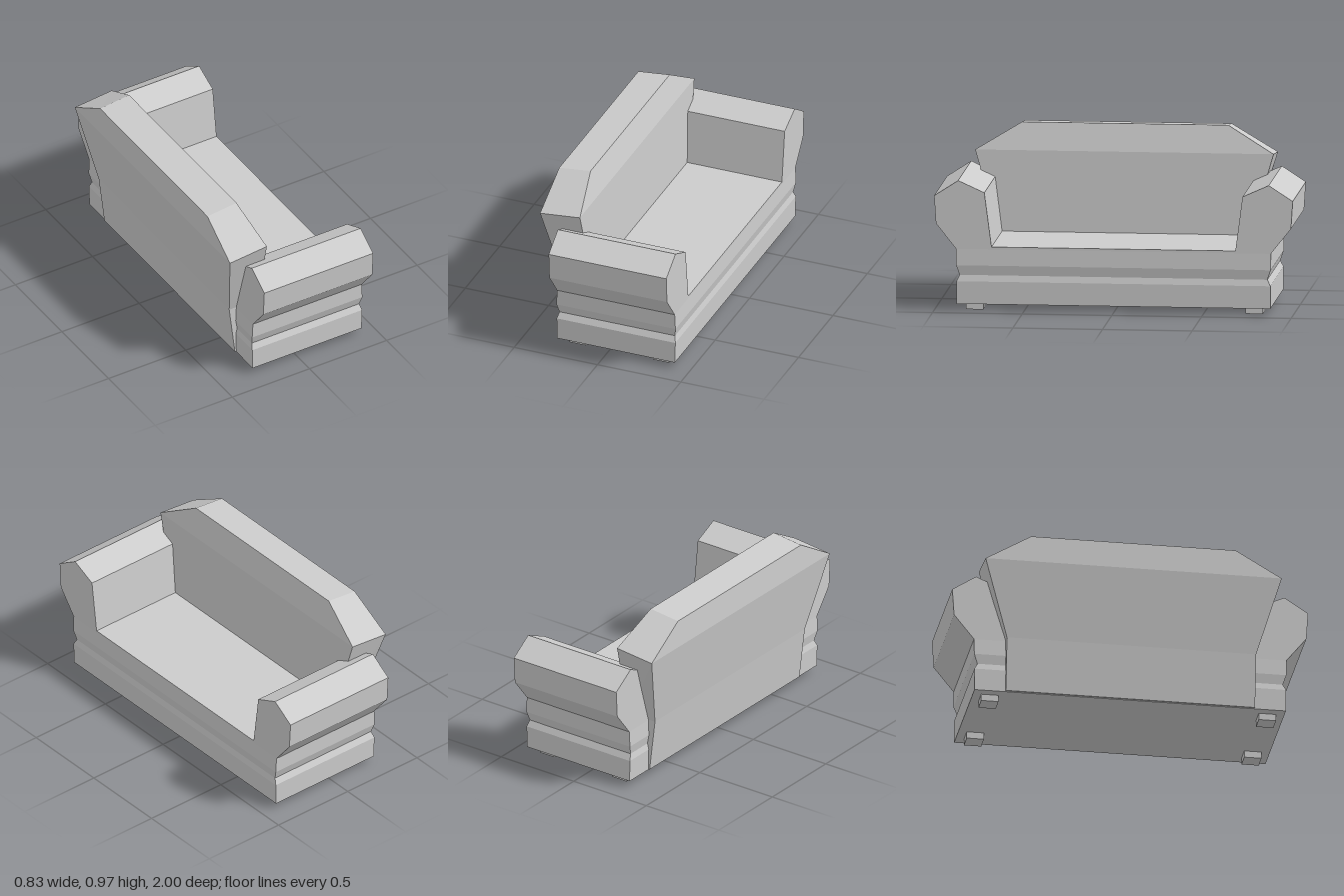
import * as THREE from 'three';

const material = new THREE.MeshStandardMaterial({ color: 0xcccccc, flatShading: true });

// Closed solid from stacked four-cornered rings: y, back x, front x, half length in z, rise of the front edge
function loft(rings) {
  const corners = rings.map(({ y, back, front, half, rise = 0 }) => [
    [back, y, half], [front, y + rise, half], [front, y + rise, -half], [back, y, -half],
  ]);
  const positions = [];
  const quad = (a, b, c, d) => positions.push(...a, ...b, ...c, ...a, ...c, ...d);
  for (let r = 0; r < corners.length - 1; r++) {
    const low = corners[r], high = corners[r + 1];
    for (let i = 0; i < 4; i++) {
      const j = (i + 1) % 4;
      quad(low[i], low[j], high[j], high[i]);
    }
  }
  quad(...corners[corners.length - 1]);
  quad(...[...corners[0]].reverse());
  const geometry = new THREE.BufferGeometry();
  geometry.setAttribute('position', new THREE.Float32BufferAttribute(positions, 3));
  geometry.computeVertexNormals();
  return geometry;
}

export function createModel() {
  const group = new THREE.Group();
  const add = (name, geometry) => {
    const mesh = new THREE.Mesh(geometry, material);
    mesh.name = name;
    group.add(mesh);
    return mesh;
  };

  // Base with a groove running all the way round
  add('base', loft([
    { y: 0.038, back: -0.293, front: 0.413, half: 0.875 },
    { y: 0.165, back: -0.296, front: 0.416, half: 0.876 },
    { y: 0.2, back: -0.287, front: 0.407, half: 0.858 },
    { y: 0.255, back: -0.297, front: 0.417, half: 0.877 },
    { y: 0.347, back: -0.293, front: 0.413, half: 0.878 },
  ]));

  // Seat and both arms share one mirrored profile
  const side = [[0.878, 0.347], [0.99, 0.488], [1, 0.643], [0.866, 0.73], [0.72, 0.664], [0.68, 0.36]];
  const mirrored = side.map(([z, y]) => [-z, y]).reverse();
  const profile = new THREE.Shape([...side, ...mirrored].map(([z, y]) => new THREE.Vector2(z, y)));
  const arms = new THREE.ExtrudeGeometry(profile, { depth: 0.706, bevelEnabled: false });
  arms.rotateY(Math.PI / 2).translate(-0.293, 0, 0);
  add('seatAndArms', arms);

  // Backrest leans back, widens upwards and has chamfered top corners
  add('backrest', loft([
    { y: 0.042, back: -0.302, front: -0.155, half: 0.7 },
    { y: 0.35, back: -0.339, front: -0.155, half: 0.7 },
    { y: 0.79, back: -0.414, front: -0.175, half: 0.832, rise: 0.023 },
    { y: 0.946, back: -0.405, front: -0.217, half: 0.575, rise: 0.02 },
  ]));

  // Four block feet
  for (const x of [-0.19, 0.31]) {
    for (const z of [-0.78, 0.78]) {
      add('foot', new THREE.BoxGeometry(0.097, 0.042, 0.097)).position.set(x, 0.021, z);
    }
  }
  return group;
}
